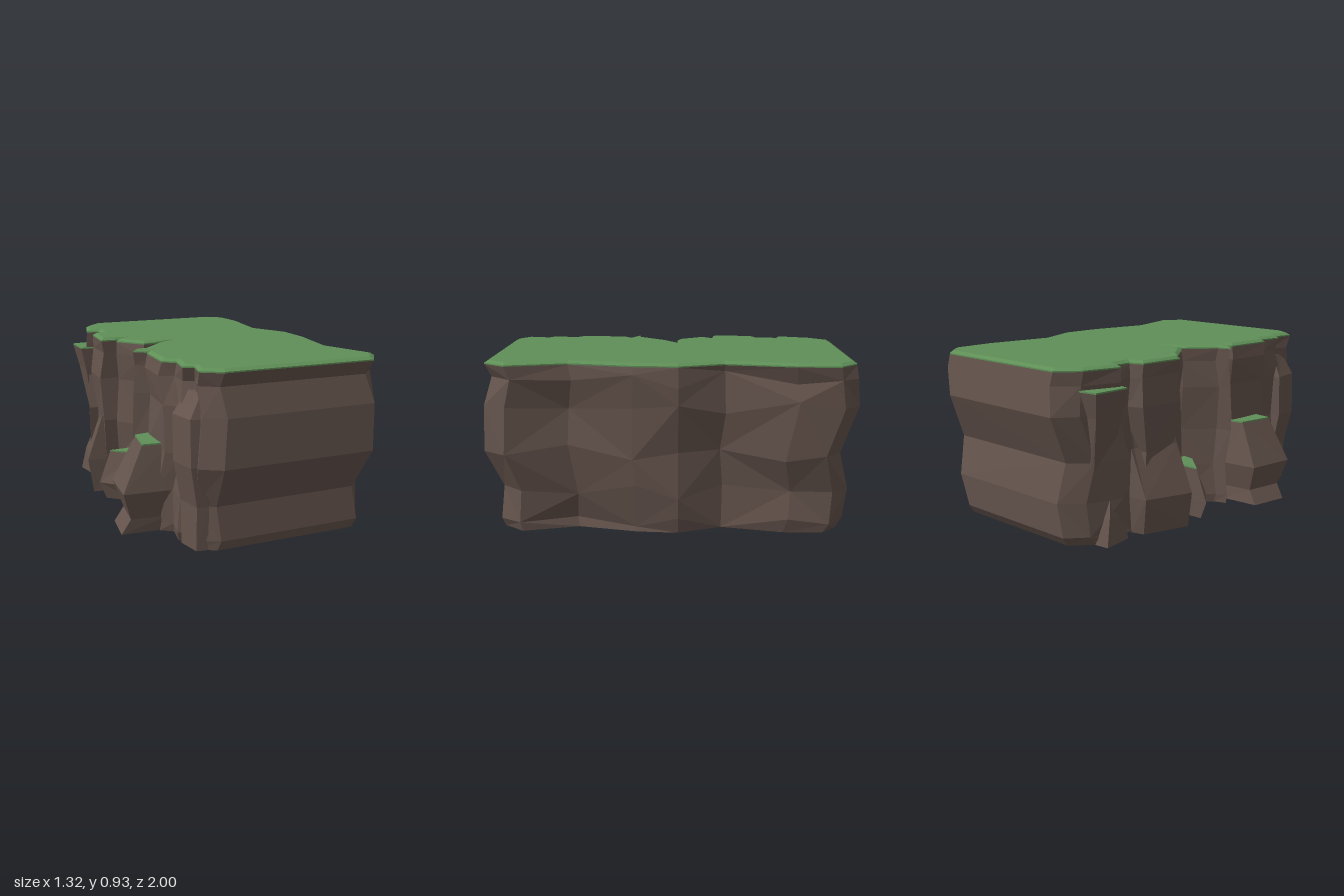
import * as THREE from 'three';

const rock = new THREE.MeshStandardMaterial({ color: 0x65544d, flatShading: true });
const grass = new THREE.MeshStandardMaterial({ color: 0x5f8f57, flatShading: true });

// Plan outline of the plateau as [x, z]: back, left side, front, then the ragged cliff
const outline = [
  [-0.29, -0.95], [0.54, -0.97], [0.63, -0.88], [0.63, -0.65], [0.56, -0.28],
  [0.65, -0.04], [0.635, 0.2], [0.56, 0.54], [0.64, 0.86], [0.55, 0.98],
  [-0.3, 0.98], [-0.4, 0.91], [-0.37, 0.79], [-0.42, 0.76], [-0.39, 0.62],
  [-0.45, 0.57], [-0.42, 0.3], [-0.37, 0.27], [-0.47, 0.22], [-0.4, 0.19],
  [-0.26, 0.04], [-0.14, -0.025], [-0.31, -0.02], [-0.42, -0.18], [-0.35, -0.23],
  [-0.49, -0.24], [-0.46, -0.49], [-0.39, -0.52], [-0.38, -0.62], [-0.45, -0.64],
  [-0.39, -0.84],
];

// Rock strata: height, front z, back z, shift of the left (+x) side
const strata = [
  [0, 0.915, -0.9, -0.05], [0.05, 0.93, -0.935, -0.035], [0.23, 0.915, -0.95, -0.025],
  [0.44, 1.0, -0.9, 0], [0.69, 0.99, -1.0, 0.005], [0.84, 0.95, -0.98, 0.005], [0.91, 0.98, -0.97, 0],
];

// Joins stacked rings of points into a closed solid
function loft(rings) {
  const n = rings[0].length, index = [];
  for (let r = 0; r < rings.length - 1; r++) {
    for (let i = 0; i < n; i++) {
      const j = (i + 1) % n;
      const a = r * n + i, b = r * n + j, c = b + n, d = a + n;
      if ((i + r) % 2) index.push(a, d, c, a, c, b);
      else index.push(a, d, b, d, c, b);
    }
  }
  const cap = (ring, base, up) => {
    const flat = ring.map((p) => new THREE.Vector2(p.x, p.z));
    for (const [a, b, c] of THREE.ShapeUtils.triangulateShape(flat, [])) {
      const area = flat[b].clone().sub(flat[a]).cross(flat[c].clone().sub(flat[a]));
      if ((area < 0) === up) index.push(base + a, base + b, base + c);
      else index.push(base + a, base + c, base + b);
    }
  };
  cap(rings[0], 0, false);
  cap(rings.at(-1), (rings.length - 1) * n, true);
  const indexed = new THREE.BufferGeometry().setFromPoints(rings.flat());
  indexed.setIndex(index);
  const geometry = indexed.toNonIndexed();
  geometry.computeVertexNormals();
  return geometry;
}

// Outline moved inwards along its corner bisectors
function insetRing(y, amount) {
  const n = outline.length;
  return outline.map(([x, z], i) => {
    const [px, pz] = outline[(i + n - 1) % n], [qx, qz] = outline[(i + 1) % n];
    const u = new THREE.Vector2(x - px, z - pz).normalize();
    const v = new THREE.Vector2(qx - x, qz - z).normalize();
    const m = new THREE.Vector2(-u.y - v.y, u.x + v.x).normalize();
    return new THREE.Vector3(x + m.x * amount, y, z + m.y * amount);
  });
}

function add(group, name, geometry, material) {
  const mesh = new THREE.Mesh(geometry, material);
  mesh.name = name;
  group.add(mesh);
}

// Rock leaning on the cliff at x = inner; each level is [y, outer x, centre z, half width].
// A positive skew cuts back the rear outer corner, a negative one the front outer corner.
function addCrag(group, name, inner, skew, levels, hasTurf) {
  const section = ([y, outer, z, half], lift = 0) => [
    new THREE.Vector3(outer + Math.max(skew, 0), y + lift, z - half * 0.85),
    new THREE.Vector3(inner, y + lift, z - half),
    new THREE.Vector3(inner, y + lift, z + half),
    new THREE.Vector3(outer + Math.max(-skew, 0), y + lift, z + half * 0.85),
  ];
  add(group, name, loft(levels.map((level) => section(level))), rock);
  if (hasTurf) {
    const top = levels.at(-1);
    add(group, name + 'Grass', loft([section(top), section(top, 0.008)]), grass);
  }
}

export function createModel() {
  const group = new THREE.Group();
  group.name = 'grassyCliff';

  // Weathered rock body
  const rings = strata.map(([y, front, back, side], r) => outline.map(([x, z], i) => {
    const isEnd = r === 0 || r === strata.length - 1;
    const rough = isEnd ? 0 : Math.sin(i * 7.3 + r * 4.1);
    const px = x > 0 ? x + side + Math.min(rough, 0.2) * 0.032 : x + rough * 0.014;
    const pz = z * (z > 0 ? front / 0.98 : back / -0.97);
    const wavy = !isEnd && Math.abs(z) < 0.85 && x > 0;
    return new THREE.Vector3(px, y + (wavy ? Math.sin(i * 3.7 + r * 2.3) * 0.04 : 0), pz);
  }));
  add(group, 'rockBody', loft(rings), rock);

  // Turf with a bevelled rim
  add(group, 'grassTop', loft([insetRing(0.91, 0), insetRing(0.917, 0), insetRing(0.93, 0.025)]), grass);

  // Rocks and buttresses along the ragged cliff
  addCrag(group, 'largeBoulder', -0.4, 0.04,
    [[0, -0.66, 0.4, 0.13], [0.08, -0.61, 0.41, 0.13], [0.23, -0.66, 0.41, 0.165], [0.47, -0.54, 0.41, 0.12]], true);
  addCrag(group, 'cleftBoulder', -0.29, -0.14,
    [[0, -0.53, -0.03, 0.08], [0.1, -0.57, -0.02, 0.095], [0.28, -0.5, -0.04, 0.075]], true);
  addCrag(group, 'backLedge', -0.37, 0.01,
    [[0.35, -0.4, -0.73, 0.06], [0.68, -0.46, -0.73, 0.1], [0.81, -0.49, -0.74, 0.12]], true);
  addCrag(group, 'backFootRock', -0.37, -0.02,
    [[0, -0.47, -0.68, 0.1], [0.14, -0.45, -0.67, 0.07], [0.34, -0.39, -0.64, 0.03]], false);
  addCrag(group, 'middleButtress', -0.4, 0.09,
    [[0, -0.56, -0.37, 0.15], [0.2, -0.59, -0.38, 0.155], [0.46, -0.49, -0.38, 0.14], [0.7, -0.46, -0.4, 0.1]], false);
  addCrag(group, 'frontButtress', -0.34, -0.02,
    [[0, -0.42, 0.81, 0.08], [0.23, -0.42, 0.81, 0.09], [0.44, -0.46, 0.82, 0.1], [0.68, -0.46, 0.81, 0.1],
      [0.8, -0.39, 0.81, 0.07]], false);
  return group;
}
